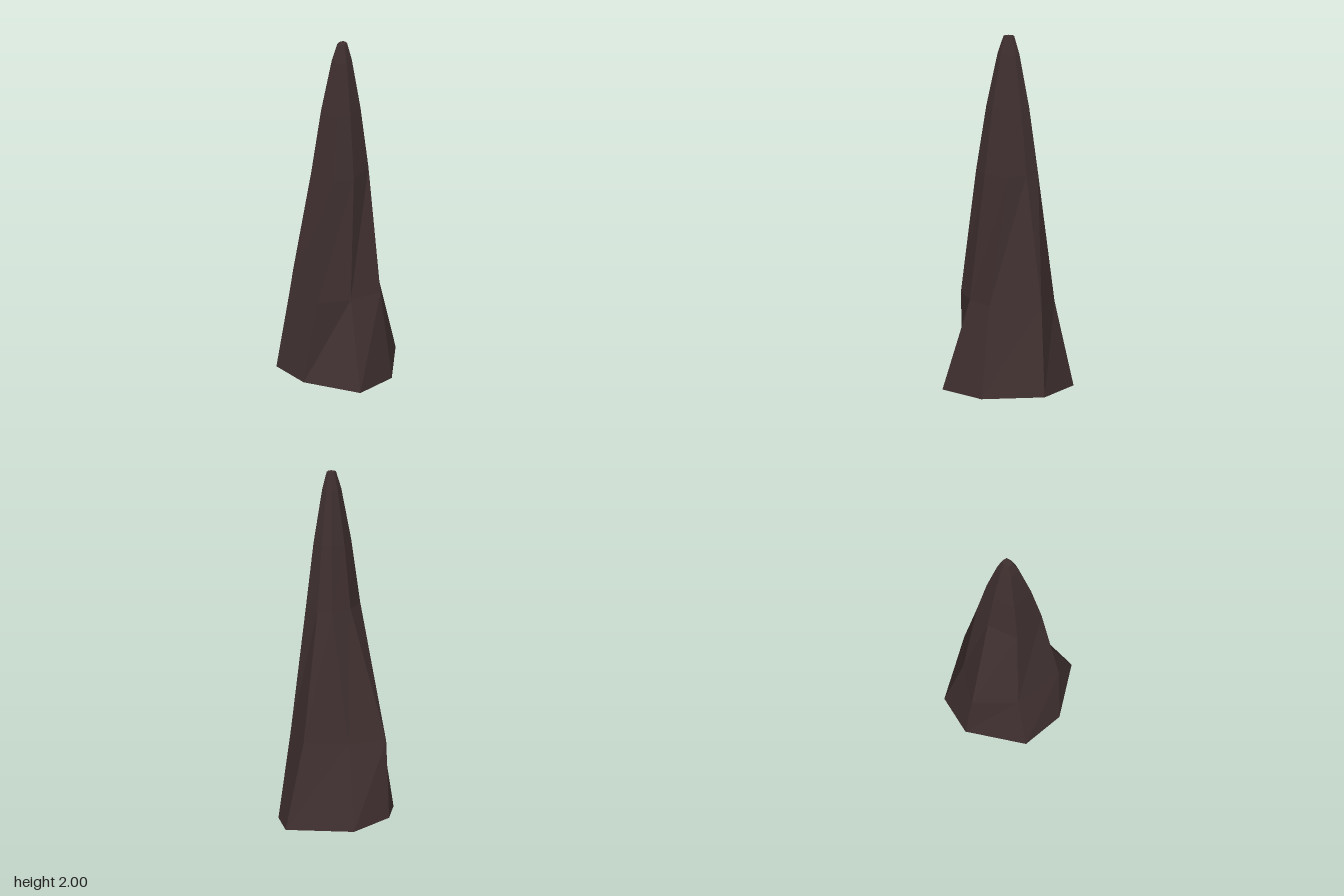
import * as THREE from 'three';

// Seven-sided cross-sections as [x, y, z], clockwise from the back corner
const base = [
  [0.015, 0.02, -0.355], [0.28, 0, -0.12], [0.355, 0.02, 0.16], [0.095, 0.045, 0.355],
  [-0.15, 0.05, 0.355], [-0.36, 0.07, 0.085], [-0.31, 0.025, -0.15],
];
const lower = [
  [-0.03, 0.51, -0.255], [0.21, 0.51, -0.095], [0.205, 0.52, 0.11], [0.145, 0.53, 0.295],
  [-0.135, 0.51, 0.27], [-0.325, 0.5, 0.1], [-0.22, 0.5, -0.095],
];
const middle = [
  [-0.015, 1.23, -0.125], [0.09, 1.23, -0.105], [0.15, 1.23, 0.045], [0.13, 1.23, 0.165],
  [-0.06, 1.23, 0.18], [-0.135, 1.24, 0.015], [-0.105, 1.23, -0.105],
];

// Shrinks the middle section around the tip axis for the upper sections
function taper(y, s, cx = 0.009, cz = 0.013) {
  return middle.map(([x, , z]) => [cx + (x - cx) * s, y, cz + (z - cz) * s]);
}

function loft(rings) {
  const n = rings[0].length;
  const index = [];
  rings.slice(1).forEach((_, r) => {
    for (let i = 0; i < n; i++) {
      const a = r * n + i, b = r * n + (i + 1) % n;
      index.push(b, a, a + n, b, a + n, b + n);
    }
  });
  // Bottom and tip caps
  const top = (rings.length - 1) * n;
  for (let i = 1; i < n - 1; i++) {
    index.push(0, i, i + 1, top, top + i + 1, top + i);
  }
  const geometry = new THREE.BufferGeometry();
  geometry.setAttribute('position', new THREE.Float32BufferAttribute(rings.flat(2), 3));
  geometry.setIndex(index);
  const faceted = geometry.toNonIndexed();
  faceted.computeVertexNormals();
  return faceted;
}

export function createModel() {
  const model = new THREE.Group();
  model.name = 'rockSpire';
  const darkRock = new THREE.MeshStandardMaterial({ color: 0x403030, flatShading: true });
  darkRock.name = 'darkRock';

  const spire = new THREE.Mesh(
    loft([base, lower, middle, taper(1.6, 0.69), taper(1.9, 0.35), taper(2, 0.17)]),
    darkRock,
  );
  spire.name = 'spire';
  model.add(spire);
  return model;
}
